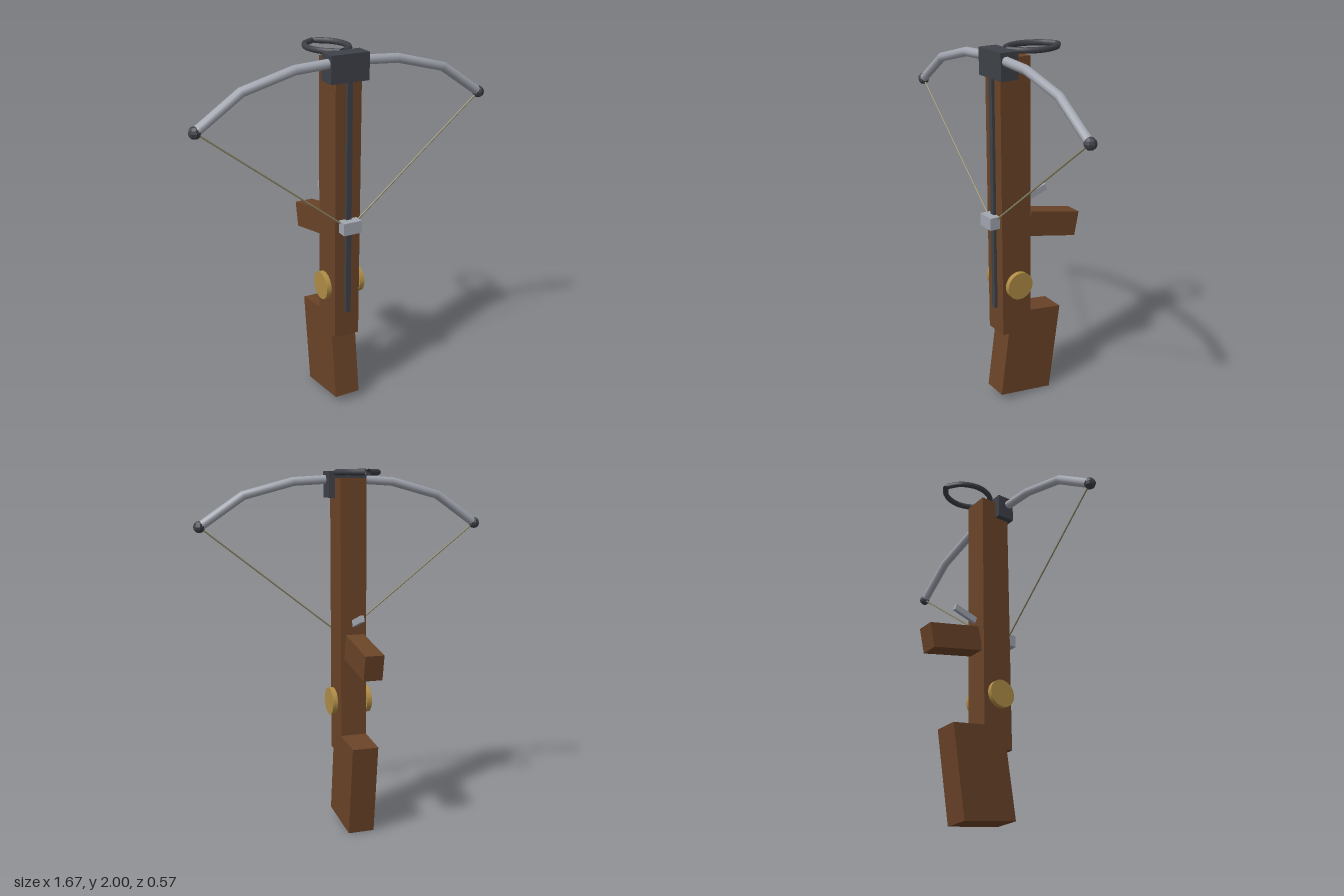
import * as THREE from 'three';

const mat = (color, extra = {}) => new THREE.MeshStandardMaterial({ color, ...extra });

export function createModel() {
  const root = new THREE.Group();
  root.name = 'crossbow';
  const wood = mat(0x6b4428), iron = mat(0x3e4148), steel = mat(0xa2a6b0);
  const brass = mat(0xb08d45), cord = mat(0x8c8668);
  const ironOpen = mat(0x3e4148, { side: THREE.DoubleSide });
  const V = (x, y, z) => new THREE.Vector3(x, y, z);

  const add = (name, geometry, material, x = 0, y = 0, z = 0, tilt = 0) => {
    const m = new THREE.Mesh(geometry, material);
    m.name = name;
    m.position.set(x, y, z);
    m.rotation.x = tilt;
    root.add(m);
    return m;
  };
  const box = (name, material, w, h, d, y, z, tilt) =>
    add(name, new THREE.BoxGeometry(w, h, d), material, 0, y, z, tilt);

  // Wooden body, butt and fore grip
  box('body', wood, 0.147, 1.53, 0.18, 1.19, 0.145);
  box('buttStock', wood, 0.147, 0.507, 0.325, 0.278, 0.055, -0.137);
  box('grip', wood, 0.105, 0.14, 0.32, 1.009, -0.108, -0.2);

  // Metal fittings along the body
  box('trigger', steel, 0.02, 0.037, 0.145, 1.192, -0.019, 0.32);
  box('boltRail', iron, 0.03, 1.33, 0.03, 1.238, 0.236);
  box('stringNut', steel, 0.105, 0.068, 0.06, 1.086, 0.263);
  box('headBlock', iron, 0.215, 0.142, 0.103, 1.92, 0.2);

  // Bow: a coarse bent tube in one piece
  const half = [[0.805, 1.7], [0.55, 1.87], [0.26, 1.94]];
  const bowPoints = [
    ...half.map(([x, y]) => V(-x, y, 0.22)),
    V(0, 1.953, 0.22),
    ...half.slice().reverse().map(([x, y]) => V(x, y, 0.22)),
  ];
  add('bow', new THREE.TubeGeometry(new THREE.CatmullRomCurve3(bowPoints), 6, 0.025, 10), steel);

  for (const s of [-1, 1]) {
    const side = s > 0 ? 'left' : 'right';

    // Bow tip
    add(side + 'BowTip', new THREE.SphereGeometry(0.032, 8, 6),
      mat(0x3e4148, { flatShading: true }), s * 0.805, 1.7, 0.22);

    // String from the tip to the nut
    const string = new THREE.LineCurve3(V(s * 0.805, 1.7, 0.22), V(s * 0.02, 1.086, 0.25));
    add(side + 'String', new THREE.TubeGeometry(string, 1, 0.005, 6), cord);

    // Round brass disc beside the body
    const disc = add(side + 'Disc', new THREE.CylinderGeometry(0.077, 0.077, 0.028, 24),
      brass, s * 0.101, 0.718, 0.147);
    disc.rotation.z = Math.PI / 2;

    // Half of the foot stirrup
    const path = new THREE.CatmullRomCurve3([
      V(s * 0.008, 1.984, -0.155), V(s * 0.075, 1.984, -0.1), V(s * 0.106, 1.984, 0),
      V(s * 0.075, 1.984, 0.1), V(s * 0.008, 1.984, 0.155),
    ]);
    add(side + 'Stirrup', new THREE.TubeGeometry(path, 12, 0.016, 8), ironOpen);
  }
  return root;
}
